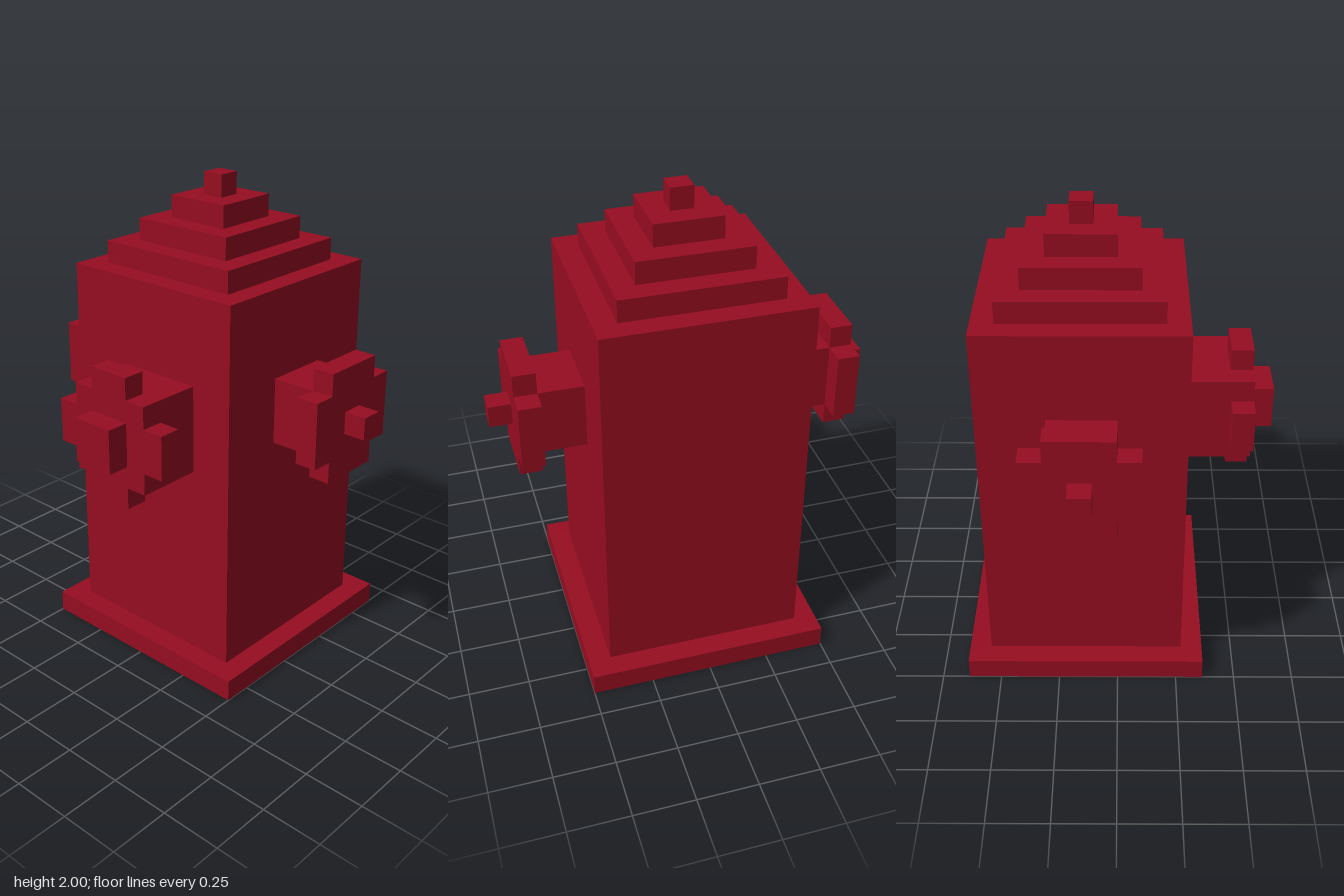
import * as THREE from 'three';

const U = 2 / 22; // one block

export function createModel() {
  const red = new THREE.MeshStandardMaterial({ color: 0x960d20 });
  red.name = 'hydrantRed';
  const model = new THREE.Group();
  model.name = 'fireHydrant';

  // Box given by its size and centre, in blocks
  function box(parent, name, [w, h, d], [x, y, z]) {
    const mesh = new THREE.Mesh(new THREE.BoxGeometry(w * U, h * U, d * U), red);
    mesh.position.set(x * U, y * U, z * U);
    mesh.name = name;
    parent.add(mesh);
  }

  // Outlet facing +z: square neck, stepped flange and a square nut.
  // corner lists the flange outline of one quadrant; the rest is turned from it.
  function outlet(name, neck, nut, corner, [x, y, z], turn) {
    const group = new THREE.Group();
    group.name = name;
    box(group, 'neck', [neck, neck, 2], [0, 0, 1]);

    const outline = [];
    for (let q = 0; q < 4; q++) {
      for (const [px, py] of corner) {
        outline.push(new THREE.Vector2(px * U, py * U).rotateAround(new THREE.Vector2(), q * Math.PI / 2));
      }
    }
    const flange = new THREE.Mesh(
      new THREE.ExtrudeGeometry(new THREE.Shape(outline), { depth: U, bevelEnabled: false }), red);
    flange.position.z = 2 * U;
    flange.name = 'flange';
    group.add(flange);

    box(group, 'nut', [nut, nut, 1], [0, 0, 3.5]);
    group.position.set(x * U, y * U, z * U);
    group.rotation.y = turn;
    model.add(group);
  }

  // Base plate and barrel
  const cx = 1.5;
  box(model, 'basePlate', [11, 1, 11], [cx, 0.5, 0]);
  box(model, 'barrel', [9, 17, 9], [cx, 9.5, 0]);

  // Stepped bonnet, ending in the top nut
  [7, 5, 3, 1].forEach((w, i) =>
    box(model, w === 1 ? 'topNut' : 'bonnetStep' + (i + 1), [w, 1, w], [cx, 18.5 + i, 0]));

  // Small outlets front and back, large outlet on the right
  const small = [[2.5, 1.5], [1.5, 1.5], [1.5, 2.5]];
  const large = [[3, 1], [2, 1], [2, 2], [1, 2], [1, 3]];
  outlet('frontOutlet', 3, 1, small, [cx, 12.5, 4.5], 0);
  outlet('backOutlet', 3, 1, small, [cx, 12.5, -4.5], Math.PI);
  outlet('rightOutlet', 4, 2, large, [-3, 12, 0.5], -Math.PI / 2);

  return model;
}
